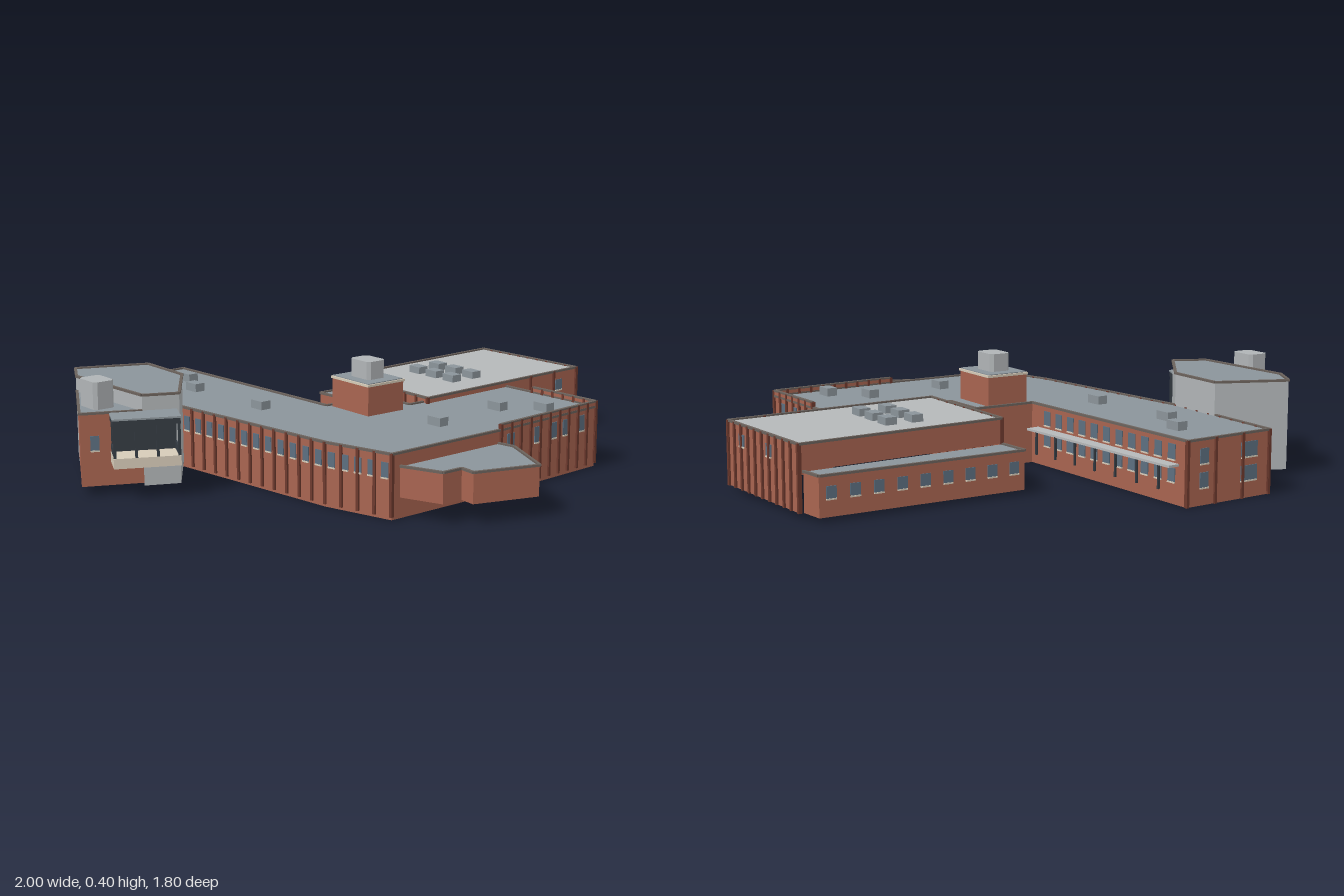
import * as THREE from 'three';

const mat = (color) => new THREE.MeshStandardMaterial({ color, side: THREE.DoubleSide, flatShading: true });
const BRICK = mat(0xa86450), RIB = mat(0x6e3a2e), ROOF = mat(0x8b949a), PALE = mat(0xb5b8b9), METAL = mat(0xb0b4b6),
  COPING = mat(0x6b625c), GLASS = mat(0x5c6f80), TRIM = mat(0xd6cbb8), DARK = mat(0x343b42);

export function createModel() {
  const root = new THREE.Group();

  const add = (parent, name, geo, material) => {
    const m = new THREE.Mesh(geo, material);
    m.name = name;
    parent.add(m);
    return m;
  };
  const box = (parent, name, material, w, h, d, x, y, z, ry = 0) => {
    const m = add(parent, name, new THREE.BoxGeometry(w, h, d), material);
    m.position.set(x, y, z);
    m.rotation.y = ry;
    return m;
  };

  // a box centred on the wall line a-b at fraction t
  const onWall = (parent, name, material, a, b, t, y0, y1, w, d) =>
    box(parent, name, material, w, y1 - y0, d, a[0] + (b[0] - a[0]) * t, (y0 + y1) / 2, a[1] + (b[1] - a[1]) * t,
      -Math.atan2(b[1] - a[1], b[0] - a[0]));
  const len = (a, b) => Math.hypot(b[0] - a[0], b[1] - a[1]);

  // one upright wall panel between two plan points
  const wall = (parent, name, material, a, b, y0, y1) => {
    const g = new THREE.BufferGeometry();
    g.setAttribute('position', new THREE.Float32BufferAttribute(
      [a[0], y0, a[1], a[0], y1, a[1], b[0], y1, b[1], b[0], y0, b[1]], 3));
    g.setIndex([0, 1, 2, 0, 2, 3]);
    g.computeVertexNormals();
    return add(parent, name, g, material);
  };

  // open-bottomed block: walls round a plan outline, flat roof, thin coping.
  // low maps an edge index to a raised wall bottom (null leaves the edge open)
  const block = (name, pts, y0, y1, roofMat, { low = {}, mats = {} } = {}) => {
    const g = new THREE.Group();
    g.name = name;
    root.add(g);
    pts.forEach((a, i) => {
      const b = pts[(i + 1) % pts.length];
      if (low[i] === null) return;
      wall(g, 'wall', mats[i] || BRICK, a, b, low[i] ?? y0, y1);
      onWall(g, 'coping', COPING, a, b, 0.5, y1 - 0.004, y1 + 0.004, len(a, b), 0.01);
    });
    const roof = new THREE.ShapeGeometry(new THREE.Shape(pts.map(([x, z]) => new THREE.Vector2(x, -z))));
    roof.rotateX(-Math.PI / 2);
    add(g, 'roof', roof, roofMat).position.y = y1 - 0.002;
    return g;
  };

  const ribs = (parent, a, b, y0, y1, gap) => {
    const n = Math.max(1, Math.round(len(a, b) / gap));
    for (let i = 0; i <= n; i++) onWall(parent, 'pilaster', RIB, a, b, i / n, y0, y1, 0.01, 0.014);
  };
  const windows = (parent, a, b, ts, y0, y1, w = 0.036) => ts.forEach((t) => {
    onWall(parent, 'window', GLASS, a, b, t, y0, y1, w, 0.006);
    onWall(parent, 'sill', TRIM, a, b, t, y0 - 0.005, y0, w, 0.01);
  });
  const spread = (n, from = 0, to = 1) => Array.from({ length: n }, (_, i) => from + (to - from) * (i + 0.5) / n);

  // long wing joined with the front wing
  const main = [[-0.515, -0.88], [-0.16, -0.9], [-0.115, -0.045], [0.12, -0.045], [0.125, 0.13], [0.19, 0.13],
    [0.6, 0.135], [0.62, 0.57], [0.12, 0.605], [-0.37, 0.615], [-0.44, 0.36], [-0.525, -0.36]];
  const wings = block('mainWings', main, 0.0, 0.22, ROOF, { low: { 5: null } });

  // west side and back end, with pilasters and windows
  [[9, 10, 5], [10, 11, 12], [11, 0, 8]].forEach(([i, j, n]) => {
    ribs(wings, main[i], main[j], 0.01, 0.222, 0.062);
    windows(wings, main[i], main[j], spread(n), 0.14, 0.19, 0.028);
  });
  windows(wings, main[11], main[0], spread(8), 0.06, 0.105, 0.028);
  ribs(wings, main[0], main[1], 0.0, 0.222, 0.12);
  [0.06, 0.14].forEach((y) => windows(wings, main[0], main[1], [0.2, 0.3, 0.8], y, y + 0.05));

  // courtyard side with covered walk
  const c0 = main[1], c1 = main[2];
  windows(wings, c0, c1, spread(11, 0.05, 0.93), 0.15, 0.2);
  windows(wings, c0, c1, spread(11, 0.05, 0.93), 0.075, 0.12);
  const walk = new THREE.Group();
  walk.name = 'coveredWalk';
  root.add(walk);
  const w0 = [-0.14, -0.86], w1 = [-0.088, -0.09];
  onWall(walk, 'walkRoof', PALE, w0, w1, 0.5, 0.13, 0.138, len(w0, w1), 0.05);
  spread(7).forEach((t) => onWall(walk, 'post', DARK, [-0.12, -0.86], [-0.066, -0.09], t, 0.05, 0.132, 0.007, 0.007));

  // raised facades of the front wing
  [[main[6], main[7], 0.31, 1], [main[7], main[8], 0, 1]].forEach(([a, b, s, e]) => {
    const p = [a[0] + (b[0] - a[0]) * s, a[1] + (b[1] - a[1]) * s];
    onWall(wings, 'parapet', BRICK, p, b, 0.5, 0.215, 0.238, len(p, b), 0.008);
    onWall(wings, 'coping', COPING, p, b, 0.5, 0.236, 0.242, len(p, b), 0.012);
    ribs(wings, p, b, 0.012, 0.24, 0.052);
    windows(wings, p, b, s ? [0.22, 0.48, 0.75] : [0.16, 0.32, 0.46, 0.62, 0.9], 0.145, 0.2);
    if (s) windows(wings, p, b, [0.22, 0.48, 0.75], 0.05, 0.1);
  });

  // hall with pale roof, and the lower range behind it
  const hall = [[0.19, -0.33], [0.96, -0.37], [0.99, 0.12], [0.73, 0.13], [0.19, 0.155]];
  const h = block('hall', hall, 0.015, 0.238, PALE, { low: { 0: 0.15, 3: 0.15 } });
  ribs(h, hall[1], hall[2], 0.015, 0.24, 0.05);
  ribs(h, hall[2], hall[3], 0.015, 0.24, 0.13);
  ribs(h, hall[4], hall[0], 0.015, 0.24, 0.06);
  windows(h, hall[1], hall[2], [0.41, 0.8], 0.165, 0.205);
  windows(h, hall[2], hall[3], [0.38], 0.165, 0.205);
  const range = [[0.18, -0.46], [0.935, -0.46], [0.945, -0.37], [0.19, -0.33]];
  const r = block('rearRange', range, 0.015, 0.15, ROOF, { low: { 2: null } });
  windows(r, range[0], range[1], spread(9), 0.075, 0.115);

  // small link block in the inner corner
  const link = [[0.6, 0.13], [0.73, 0.13], [0.73, 0.25], [0.605, 0.26]];
  const l = block('linkBlock', link, 0.015, 0.153, ROOF, { low: { 3: null } });
  windows(l, link[1], link[2], [0.55], 0.095, 0.13, 0.028);

  // raised entrance block
  block('entranceBlock', [[-0.335, 0.615], [-0.28, 0.76], [-0.2, 0.76], [-0.205, 0.82], [0.02, 0.89], [0.12, 0.67],
    [0.11, 0.605]], 0.07, 0.175, ROOF, { low: { 6: null } });

  // plant box with chamfered corners
  const plant = (x, z, w, d, y0, y1) => {
    const c = 0.012, a = w / 2, b = d / 2;
    const s = new THREE.Shape([[-a + c, -b], [a - c, -b], [a, -b + c], [a, b - c], [a - c, b], [-a + c, b], [-a, b - c],
      [-a, -b + c]].map((p) => new THREE.Vector2(...p)));
    const g = new THREE.ExtrudeGeometry(s, { depth: y1 - y0, bevelEnabled: false });
    g.rotateX(-Math.PI / 2);
    add(root, 'plantBox', g, METAL).position.set(x, y0, z);
  };

  // stair tower
  box(root, 'stairTower', BRICK, 0.16, 0.12, 0.2, -0.02, 0.265, 0.07);
  box(root, 'towerTrim', TRIM, 0.168, 0.008, 0.208, -0.02, 0.326, 0.07);
  box(root, 'towerRoof', ROOF, 0.156, 0.006, 0.196, -0.02, 0.33, 0.07);
  plant(-0.02, 0.07, 0.08, 0.105, 0.33, 0.397);

  // skylights
  [[-0.26, -0.71], [-0.335, -0.555], [-0.315, -0.17], [0.01, 0.41], [0.325, 0.375], [0.44, 0.49]].forEach(([x, z]) =>
    box(root, 'skylight', ROOF, 0.04, 0.032, 0.06, x, 0.232, z, 0.05));
  [0.46, 0.56].forEach((x) => [-0.205, -0.11, -0.015].forEach((z) =>
    box(root, 'hallSkylight', ROOF, 0.042, 0.03, 0.058, x, 0.247, z)));

  // annex: tall metal-clad part and lower brick part
  block('annexTall', [[-0.76, -0.69], [-0.515, -0.59], [-0.52, -0.36], [-0.69, -0.12], [-0.805, -0.172], [-0.825, -0.57]],
    0.02, 0.336, ROOF, { low: { 4: 0.28 }, mats: { 0: METAL, 1: METAL, 2: METAL, 3: METAL, 4: METAL, 5: METAL } });
  const low = [[-0.825, -0.57], [-0.805, -0.172], [-0.997, -0.26]];
  const annex = block('annexLow', low, 0.03, 0.283, ROOF, { low: { 0: null } });
  windows(annex, low[1], low[2], [0.77], 0.155, 0.205, 0.03);
  plant(-0.888, -0.325, 0.08, 0.105, 0.283, 0.378);

  // porch on the annex
  const porch = new THREE.Group();
  porch.name = 'porch';
  porch.position.set(-0.825, 0, -0.125);
  porch.rotation.y = -0.45;
  root.add(porch);
  box(porch, 'porchFloor', TRIM, 0.226, 0.035, 0.11, 0, 0.13, 0);
  box(porch, 'porchRoof', ROOF, 0.23, 0.006, 0.115, 0, 0.28, 0);
  box(porch, 'porchFascia', DARK, 0.226, 0.02, 0.11, 0, 0.267, 0);
  box(porch, 'porchGlazing', DARK, 0.22, 0.11, 0.008, 0, 0.203, -0.045);
  [-0.108, -0.036, 0.036, 0.108].forEach((x) => box(porch, 'porchPost', DARK, 0.009, 0.115, 0.009, x, 0.203, 0.049));
  [-0.108, 0.108].forEach((x) => box(porch, 'porchRail', DARK, 0.006, 0.03, 0.1, x, 0.16, 0));

  return root;
}
